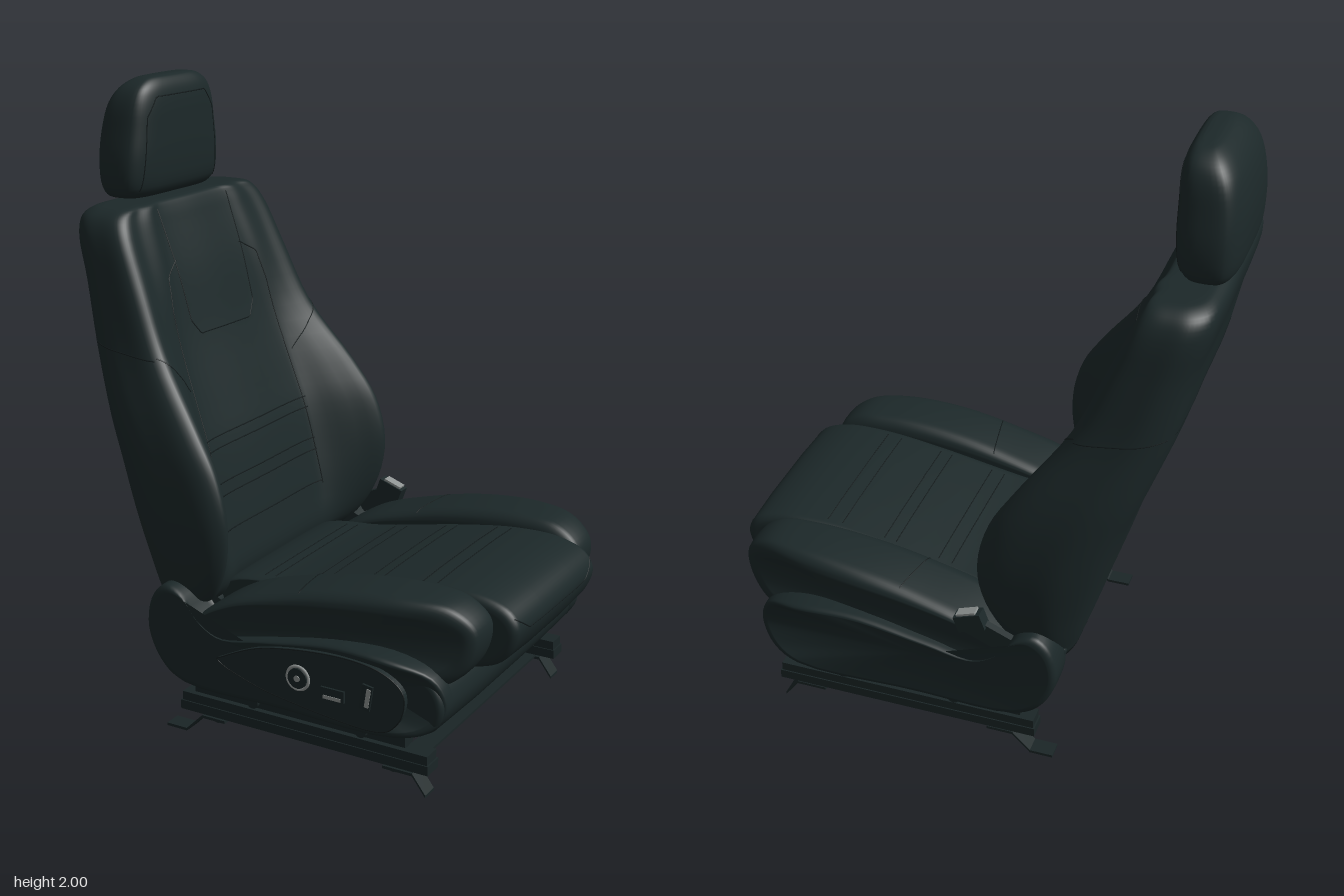
import * as THREE from 'three';

const V = (x, y, z) => new THREE.Vector3(x, y, z);
const mat = (name, color) => Object.assign(new THREE.MeshStandardMaterial({ color }), { name });

export function createModel() {
  const model = new THREE.Group();
  model.name = 'carSeat';
  const leather = mat('dark leather', 0x1c2829);
  const plastic = mat('dark plastic', 0x1b2728);
  const rail = mat('rail metal', 0x1a2526);
  const seamMat = mat('seam thread', 0x121a1b);
  const silver = mat('silver', 0x8f9493);
  const MID = -0.012;

  const add = (name, geo, material, x = 0, y = 0, z = 0) => {
    const m = new THREE.Mesh(geo, material);
    m.name = name;
    m.position.set(x, y, z);
    model.add(m);
    return m;
  };
  const box = (name, material, x0, x1, y0, y1, z0, z1) =>
    add(name, new THREE.BoxGeometry(x1 - x0, y1 - y0, z1 - z0), material, (x0 + x1) / 2, (y0 + y1) / 2, (z0 + z1) / 2);

  // Smooth closed skin through matching rings of points
  function loft(sections, around = 64, steps = 4) {
    const rings = sections.map(s => new THREE.CatmullRomCurve3(s, true).getPoints(around).slice(0, -1));
    const cols = rings[0].map((_, j) =>
      new THREE.CatmullRomCurve3(rings.map(r => r[j])).getPoints((rings.length - 1) * steps));
    const n = cols[0].length, pts = [], idx = [];
    for (let i = 0; i < n; i++) for (const c of cols) pts.push(c[i]);
    for (let i = 0; i < n - 1; i++) for (let j = 0; j < around; j++) {
      const a = i * around + j, b = i * around + (j + 1) % around;
      idx.push(a, b, a + around, b, b + around, a + around);
    }
    for (const i of [0, n - 1]) {
      const centre = V(0, 0, 0);
      for (const c of cols) centre.addScaledVector(c[i], 1 / around);
      pts.push(centre);
      for (let j = 0; j < around; j++) {
        const a = i * around + j, b = i * around + (j + 1) % around;
        idx.push(pts.length - 1, ...(i ? [a, b] : [b, a]));
      }
    }
    // Turn the faces outward if the volume comes out negative
    let vol = 0;
    for (let i = 0; i < idx.length; i += 3) {
      vol += pts[idx[i]].dot(V(0, 0, 0).crossVectors(pts[idx[i + 1]], pts[idx[i + 2]]));
    }
    if (vol < 0) idx.reverse();
    const g = new THREE.BufferGeometry().setFromPoints(pts);
    g.setIndex(idx);
    g.computeVertexNormals();
    return g;
  }

  // Side profile carried across z with rounded ends
  function pillow(profile, z0, z1, r, squeeze = () => 0) {
    const xs = profile.map(p => p[0]), ys = profile.map(p => p[1]);
    const x0 = Math.min(...xs), x1 = Math.max(...xs), y0 = Math.min(...ys), y1 = Math.max(...ys);
    const cx = (x0 + x1) / 2, cy = (y0 + y1) / 2, hx = (x1 - x0) / 2, hy = (y1 - y0) / 2;
    const dz = r * Math.sign(z1 - z0);
    const ring = (z, s) => profile.map(([x, y]) =>
      V(cx + (x - cx) * (1 - s / hx), cy + (y - cy) * (1 - s / hy), z - squeeze(x) * (z - z0) / (z1 - z0)));
    const angles = [0, 30, 60, 90].map(a => a * Math.PI / 180);
    const start = angles.map(a => ring(z0 + dz * (1 - Math.cos(a)), r * (1 - Math.sin(a))));
    const end = angles.map(a => ring(z1 - dz * (1 - Math.cos(a)), r * (1 - Math.sin(a)))).reverse();
    return loft([...start, ...end], 72, 3);
  }

  // Stitched line laid onto a mesh by projecting a path along a direction
  function seam(mesh, path, dir, name) {
    mesh.updateMatrixWorld(true);
    const line = new THREE.CurvePath();
    for (let i = 1; i < path.length; i++) line.add(new THREE.LineCurve3(V(...path[i - 1]), V(...path[i])));
    const hits = [];
    for (const p of line.getSpacedPoints(14 * (path.length - 1))) {
      const hit = new THREE.Raycaster(p.addScaledVector(dir, -3), dir).intersectObject(mesh)[0];
      if (hit) hits.push(hit.point);
    }
    if (hits.length > 2) add(name, new THREE.TubeGeometry(new THREE.CatmullRomCurve3(hits), hits.length * 2, 0.002, 5), seamMat);
  }
  const intoFront = V(-1, 0, 0), intoBack = V(1, 0, 0), down = V(0, -1, 0);

  // Backrest: y, back x, bolster front x, centre front x, half width, panel half width
  const backRows = [
    [0.38, -0.385, -0.28, -0.28, 0.45, 0.28], [0.46, -0.41, -0.19, -0.235, 0.495, 0.29],
    [0.58, -0.445, -0.125, -0.245, 0.525, 0.3], [0.72, -0.487, -0.105, -0.27, 0.54, 0.305],
    [0.87, -0.535, -0.14, -0.305, 0.535, 0.305], [1.0, -0.585, -0.22, -0.35, 0.515, 0.3],
    [1.2, -0.655, -0.365, -0.42, 0.465, 0.29], [1.4, -0.7, -0.455, -0.475, 0.437, 0.27],
    [1.54, -0.738, -0.515, -0.525, 0.415, 0.25], [1.592, -0.738, -0.54, -0.545, 0.388, 0.24],
    [1.615, -0.715, -0.555, -0.56, 0.35, 0.22], [1.62, -0.69, -0.59, -0.59, 0.3, 0.19],
  ];
  const backSections = backRows.map(([y, xb, xf, xc, w, p]) => {
    const d = xf - xb;
    const half = [[0.55 * w, xb], [0.86 * w, xb + 0.06 * d], [0.98 * w, xb + 0.3 * d], [w, xb + 0.6 * d],
      [0.985 * w, xf - 0.1 * d], [0.92 * w, xf], [0.77 * w, xc + (xf - xc) * 0.62], [p, xc + 0.01], [p - 0.06, xc]];
    const ring = [[0, xb], ...half, [0, xc], ...half.map(([z, x]) => [-z, x]).reverse()];
    return ring.map(([z, x]) => V(x, y, z + MID));
  });
  const backrest = add('backrest', loft(backSections, 100, 4), leather);

  // Backrest stitching: panel outline, head flap, ribs and side joins
  for (const s of [1, -1]) {
    seam(backrest, [[0.6, 0.3], [1.3, 0.27], [1.4, 0.25], [1.44, 0.18]].map(([y, z]) => [0, y, s * z + MID]), intoFront, 'panelSeam');
    seam(backrest, [[0, 1.06, s * 0.3 + MID], [0, 1.2, s * 0.45 + MID]], intoFront, 'wingSeam');
    seam(backrest, [[-0.64, 1.22, 0], [-0.38, 1.19, 0]], V(0, 0, -s), 'sideSeam');
  }
  seam(backrest, [[0, 1.6, 0.18], [0, 1.25, 0.165], [0, 1.205, 0.13], [0, 1.2, -0.15], [0, 1.25, -0.19], [0, 1.6, -0.205]], intoFront, 'flapSeam');
  for (const y of [0.9, 0.865, 0.76, 0.72, 0.61]) seam(backrest, [[0, y, 0.285], [0, y, -0.31]], intoFront, 'backRib');
  seam(backrest, [[0, 1.22, 0.4], [0, 1.22, -0.42]], intoBack, 'rearSeam');

  // Headrest: y, back x, front x, half width
  const headRows = [[1.622, -0.72, -0.63, 0.16], [1.63, -0.745, -0.605, 0.22], [1.66, -0.762, -0.583, 0.24],
    [1.74, -0.77, -0.572, 0.245], [1.84, -0.765, -0.57, 0.23], [1.92, -0.745, -0.572, 0.212],
    [1.965, -0.715, -0.58, 0.185], [1.992, -0.68, -0.597, 0.14], [2.0, -0.655, -0.615, 0.09]];
  const soften = v => Math.sign(v) * Math.abs(v) ** 0.55;
  const headSections = headRows.map(([y, xb, xf, w]) => Array.from({ length: 20 }, (_, i) => {
    const a = i / 20 * Math.PI * 2;
    return V((xb + xf) / 2 + soften(Math.cos(a)) * (xf - xb) / 2, y, soften(Math.sin(a)) * w + MID);
  }));
  const headrest = add('headrest', loft(headSections, 60, 4), leather);
  seam(headrest, [[0, 1.65, 0.19], [0, 1.88, 0.165], [0, 1.94, 0.12], [0, 1.94, -0.14], [0, 1.88, -0.19], [0, 1.65, -0.215]], intoFront, 'headrestSeam');
  for (const z of [0.11, -0.13]) add('headrestPost', new THREE.CylinderGeometry(0.018, 0.018, 0.1, 16), rail, -0.66, 1.63, z);

  // Centre cushion
  const cushion = add('seatCushion', pillow([[-0.3, 0.4], [-0.23, 0.46], [0, 0.495], [0.3, 0.555], [0.5, 0.583], [0.65, 0.58],
    [0.74, 0.545], [0.768, 0.49], [0.72, 0.39], [0.63, 0.35], [0.4, 0.34], [0, 0.34], [-0.29, 0.35]], -0.315, 0.288, 0.03), leather);
  for (const x of [-0.12, -0.08, 0.065, 0.11, 0.255, 0.295, 0.44, 0.49]) seam(cushion, [[x, 0, 0.25], [x, 0, -0.275]], down, 'cushionRib');
  seam(cushion, [[0, 0.53, 0.27], [0, 0.485, 0.2], [0, 0.48, -0.22], [0, 0.53, -0.295]], intoFront, 'noseSeam');

  // Side bolsters and lower side trim, mirrored
  const bolsterSide = [[-0.24, 0.38], [-0.12, 0.48], [0.1, 0.555], [0.3, 0.597], [0.5, 0.612], [0.63, 0.595],
    [0.7, 0.53], [0.68, 0.42], [0.6, 0.35], [0.2, 0.33], [-0.2, 0.34]];
  const trimSide = [[-0.37, 0.36], [-0.352, 0.47], [-0.3, 0.515], [-0.24, 0.495], [-0.19, 0.43], [-0.11, 0.385], [0.05, 0.41],
    [0.3, 0.45], [0.5, 0.44], [0.61, 0.39], [0.64, 0.3], [0.6, 0.23], [0.5, 0.2], [0.1, 0.197], [-0.24, 0.2], [-0.32, 0.25]];
  for (const s of [1, -1]) {
    const bolster = add('cushionBolster', pillow(bolsterSide, s * 0.295 + MID, s * 0.525 + MID, 0.05,
      x => s * Math.max(0, x - 0.3) ** 2 * 0.45), leather);
    seam(bolster, [[0.12, 0, s * 0.31 + MID], [0.15, 0, s * 0.5 + MID]], down, 'bolsterSeam');
    add('sideTrim', pillow(trimSide, s * 0.43, s > 0 ? 0.545 : -0.563, 0.022, x => s * Math.max(0, x - 0.54) * 0.6), plastic);
  }

  // Seat base: front roll, pan and slanted rear panel
  add('frontRoll', pillow([[0.36, 0.3], [0.38, 0.37], [0.5, 0.4], [0.6, 0.38], [0.635, 0.3], [0.6, 0.225], [0.5, 0.2], [0.4, 0.21]],
    -0.5, 0.5, 0.02), plastic);
  box('seatPan', plastic, -0.28, 0.5, 0.27, 0.36, -0.46, 0.46);
  add('rearPanel', pillow([[-0.37, 0.42], [-0.35, 0.34], [-0.31, 0.25], [-0.27, 0.215], [-0.24, 0.24], [-0.27, 0.42]], -0.46, 0.46, 0.005), plastic);

  // Raised control panel on the outer side
  const panel = new THREE.Shape();
  panel.moveTo(-0.1, 0.325);
  panel.splineThru([[0.06, 0.395], [0.28, 0.427], [0.45, 0.417], [0.54, 0.36], [0.52, 0.26], [0.42, 0.22], [0.1, 0.255], [-0.06, 0.3]]
    .map(p => new THREE.Vector2(...p)));
  add('controlPanel', new THREE.ExtrudeGeometry(panel, { depth: 0.02, bevelEnabled: false, curveSegments: 8 }), plastic, 0, 0, 0.54);
  const panelRim = new THREE.CatmullRomCurve3(panel.getPoints(8).map(p => V(p.x, p.y, 0.559)), true);
  add('panelEdge', new THREE.TubeGeometry(panelRim, 120, 0.002, 5, true), seamMat);
  add('lumbarRing', new THREE.TorusGeometry(0.037, 0.005, 8, 32), silver, 0.19, 0.33, 0.56);
  add('lumbarKnob', new THREE.CylinderGeometry(0.032, 0.032, 0.014, 24).rotateX(Math.PI / 2), rail, 0.19, 0.33, 0.56);
  add('lumbarCap', new THREE.CylinderGeometry(0.01, 0.01, 0.006, 16).rotateX(Math.PI / 2), silver, 0.19, 0.33, 0.566);
  box('cushionSwitch', rail, 0.27, 0.35, 0.288, 0.325, 0.555, 0.567);
  box('cushionSwitchEdge', silver, 0.28, 0.34, 0.29, 0.301, 0.562, 0.569);
  box('backSwitch', rail, 0.405, 0.44, 0.285, 0.365, 0.555, 0.567).rotation.z = -0.15;
  box('backSwitchEdge', silver, 0.422, 0.436, 0.295, 0.355, 0.562, 0.569).rotation.z = -0.15;

  // Belt buckle
  box('buckleStalk', plastic, -0.22, -0.08, 0.455, 0.52, -0.55, -0.525).rotation.z = 0.4;
  box('buckle', plastic, -0.14, -0.05, 0.5, 0.555, -0.562, -0.52).rotation.z = -0.35;
  box('buckleFace', silver, -0.115, -0.05, 0.553, 0.56, -0.558, -0.524).rotation.z = -0.35;

  // Sliding rails and bent mounting feet
  const foot = (name, path, z) => {
    const s = new THREE.Shape([...path, ...path.map(([x, y]) => [x, y + 0.009]).reverse()].map(p => new THREE.Vector2(...p)));
    add(name, new THREE.ExtrudeGeometry(s, { depth: 0.056, bevelEnabled: false }), rail, 0, 0, z - 0.028);
  };
  for (const z of [0.45, -0.472]) {
    box('lowerRail', rail, -0.29, 0.585, 0.078, 0.108, z - 0.034, z + 0.034);
    box('lowerRailTop', rail, -0.285, 0.58, 0.108, 0.137, z - 0.03, z + 0.03);
    box('railSlider', rail, -0.22, 0.5, 0.13, 0.15, z - 0.012, z + 0.012);
    box('upperRail', rail, -0.24, 0.505, 0.145, 0.195, z - 0.025, z + 0.025);
    for (const x of [-0.02, 0.36]) {
      add('railBolt', new THREE.CylinderGeometry(0.02, 0.02, 0.075, 16).rotateX(Math.PI / 2), rail, x, 0.165, z);
      box('railMount', rail, x - 0.03, x + 0.03, 0.19, 0.28, z - 0.02, z + 0.02);
    }
    foot('rearFoot', [[-0.35, 0], [-0.275, 0], [-0.215, 0.06], [-0.13, 0.06]], z);
    foot('frontFoot', [[0.43, 0.06], [0.53, 0.06], [0.575, 0]], z);
    for (const x of [-0.165, 0.46]) add('footBolt', new THREE.CylinderGeometry(0.016, 0.016, 0.03, 12), rail, x, 0.065, z);
  }
  for (const x of [-0.17, 0.48]) box('crossBar', rail, x - 0.035, x + 0.035, 0.066, 0.074, -0.45, 0.43);

  return model;
}
